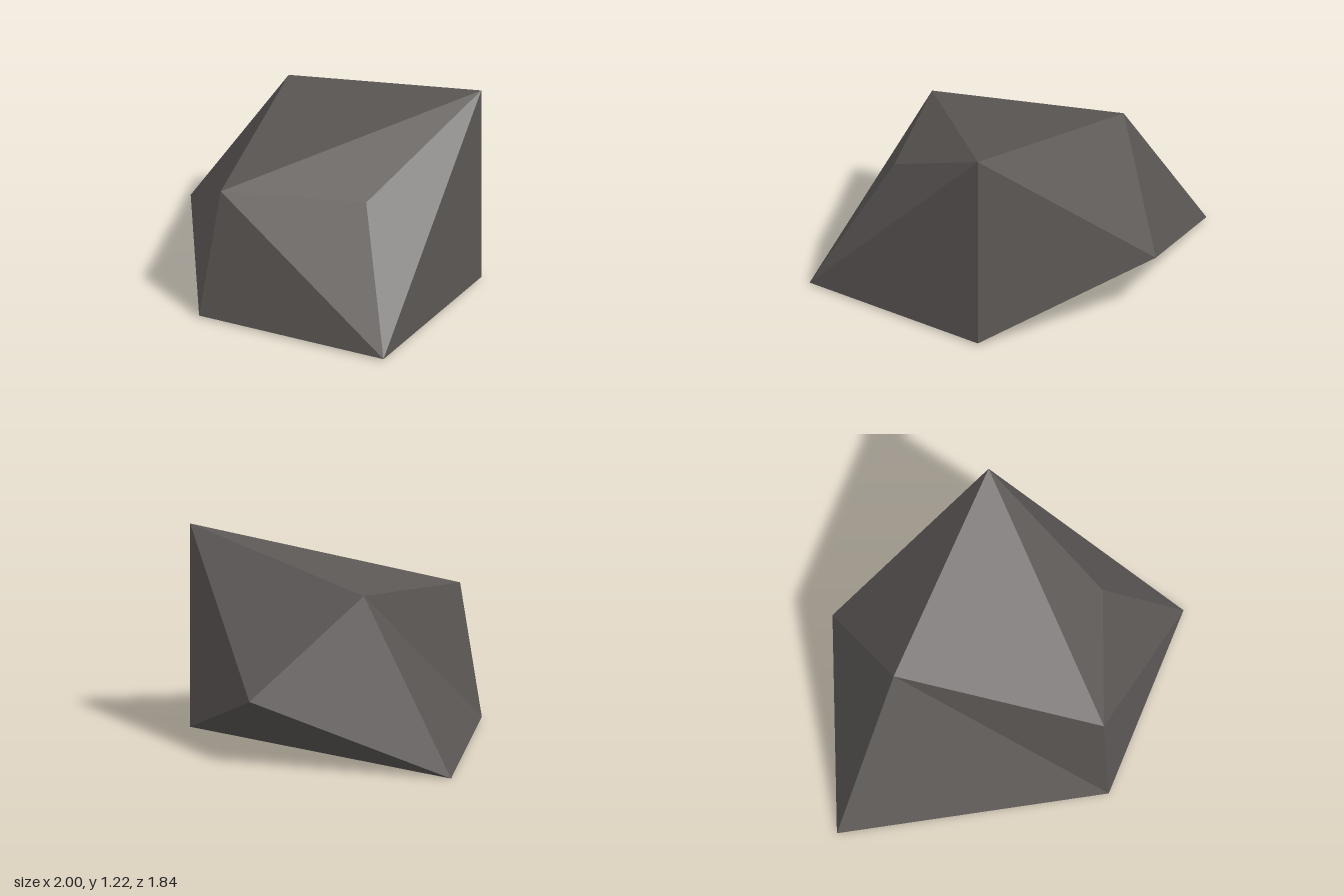
import * as THREE from 'three';

export function createModel() {
  const model = new THREE.Group();
  model.name = 'rock';

  const darkStone = new THREE.MeshStandardMaterial({ color: 0x5c5856 });
  darkStone.name = 'darkStone';

  // Corners of the faceted boulder
  const corners = [
    [-1, 0, -0.465], [-0.21, 0.012, 0.92], [1, 0.012, 0.92], [1, 0.012, -0.29], // 0-3 base
    [-0.31, 0.977, -0.377], [1, 1.22, -0.29], [-0.105, 0.81, 0.85], // 4-6 crown
    [0.685, 0.785, 0.54], [0.115, 0.39, -0.92], // 7 front bulge, 8 back bulge
  ];
  const facets = [
    [0, 1, 4], [1, 6, 4], // left side, folded inward along its diagonal
    [1, 2, 6], [2, 7, 6], [5, 6, 7], [2, 5, 7], // front and chipped corner
    [2, 3, 5], // right side
    [5, 3, 8], [4, 5, 8], [0, 4, 8], [3, 0, 8], // back
    [4, 6, 5], // top
    [0, 3, 2], [0, 2, 1], // underside
  ];

  // Every facet keeps its own corners, so its normal stays flat
  const points = facets.flat().map((i) => new THREE.Vector3(...corners[i]));
  const geometry = new THREE.BufferGeometry().setFromPoints(points);
  geometry.computeVertexNormals();

  const boulder = new THREE.Mesh(geometry, darkStone);
  boulder.name = 'boulder';
  model.add(boulder);
  return model;
}
